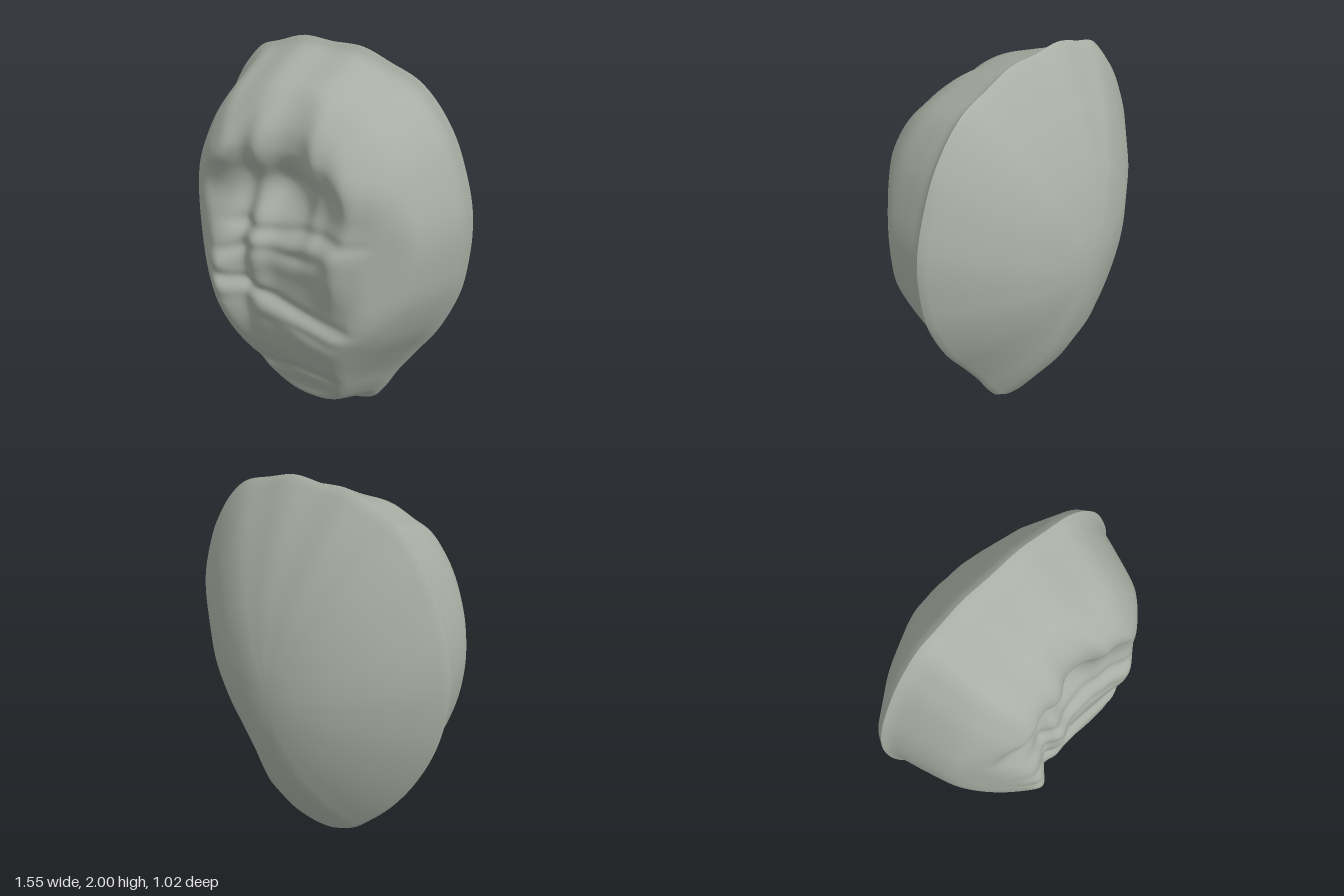
import * as THREE from 'three';

const SEGMENTS = 192;
const CENTER_Y = 1;

// Egg-shaped rim, counter-clockwise seen from the front, starting at the foot
const rim = new THREE.CatmullRomCurve3([
  [0, 0], [0.15, 0.015], [0.25, 0.06], [0.32, 0.15], [0.4, 0.29], [0.5, 0.44], [0.61, 0.6],
  [0.69, 0.76], [0.74, 0.9], [0.765, 1.05], [0.775, 1.2], [0.765, 1.33], [0.72, 1.5],
  [0.65, 1.67], [0.55, 1.81], [0.45, 1.895], [0.3, 1.95], [0.14, 2], [-0.03, 1.997], [-0.2, 2],
  [-0.35, 1.95], [-0.46, 1.91], [-0.55, 1.82], [-0.62, 1.72], [-0.7, 1.55], [-0.75, 1.4],
  [-0.775, 1.22], [-0.765, 1.05], [-0.73, 0.87], [-0.67, 0.7], [-0.57, 0.5], [-0.45, 0.32],
  [-0.33, 0.18], [-0.23, 0.08], [-0.12, 0.02],
].map(([x, y]) => new THREE.Vector3(x, y, 0)), true);

// Smooth interpolation through [position, value] pairs in rising order
function sample(table, t) {
  if (t <= table[0][0]) return table[0][1];
  for (let i = 1; i < table.length; i++) {
    if (t <= table[i][0]) {
      const [a, va] = table[i - 1], [b, vb] = table[i];
      const slope = (j) => {
        const p = table[Math.max(j - 1, 0)], q = table[Math.min(j + 1, table.length - 1)];
        return (q[1] - p[1]) / (q[0] - p[0]);
      };
      const d = b - a, u = (t - a) / d, u2 = u * u, u3 = u2 * u;
      return (2 * u3 - 3 * u2 + 1) * va + (u3 - 2 * u2 + u) * d * slope(i - 1)
        + (3 * u2 - 2 * u3) * vb + (u3 - u2) * d * slope(i);
    }
  }
  return table[table.length - 1][1];
}

const bump = (d, width) => Math.exp(-((d / width) ** 2));
const step = THREE.MathUtils.smoothstep;

// Rounded minimum of two heights
function softMin(a, b, k) {
  const h = Math.max(k - Math.abs(a - b), 0) / k;
  return Math.min(a, b) - h * h * k * 0.25;
}

// Height of the sloping side wall by distance from the middle (1 = rim)
const wall = [[0, 0.8], [0.4, 0.59], [0.6, 0.45], [0.7, 0.375], [0.78, 0.295], [0.85, 0.195],
  [0.92, 0.03], [0.96, -0.07], [1, -0.11]];

// Height of the front face along the middle, from foot to crown
const face = [[0.1, 0.19], [0.22, 0.2], [0.29, 0.225], [0.34, 0.26], [0.5, 0.35], [0.62, 0.39],
  [0.72, 0.4], [0.8, 0.39], [0.95, 0.395], [1.08, 0.4], [1.2, 0.385], [1.32, 0.355],
  [1.42, 0.36], [1.52, 0.385], [1.6, 0.39], [1.7, 0.365], [1.85, 0.27], [2, 0.2]];

// Front relief: vertical ribs, slanting cross grooves and a left cheek
function faceHeight(x, y) {
  const upper = step(y, 1.1, 1.5), middle = bump(y - 0.95, 0.45);
  let z = sample(face, y);
  // hollow brow with a dimple below it
  z -= 0.05 * bump(x - 0.04, 0.16) * upper;
  z -= 0.055 * bump(x + 0.04, 0.19) * bump(y - 1.41, 0.11);
  // ribs
  z += 0.035 * bump(x + 0.11, 0.06) * step(y, 0.6, 1);
  z += 0.02 * bump(x - 0.2, 0.05) * step(y, 0.9, 1.4);
  z += 0.06 * bump(x + 0.36, 0.1) * bump(y - 1.58, 0.16);
  const off = x - (0.3 + 0.2 * (y - 0.8));
  z += 0.05 * bump(off, off > 0 ? 0.06 : 0.12) * step(y, 0.75, 1.1);
  // left cheek and the furrow beside it
  z += 0.11 * bump(x + 0.33, 0.13) * bump(y - 0.88, 0.28);
  z -= 0.03 * bump(x + 0.2, 0.05) * middle;
  // cross grooves, each with a soft lip below
  const groove = (line, depth, left, right) => {
    const d = y - line - 0.012 * Math.sin(11 * x + 20 * line);
    const reach = step(x, left - 0.15, left + 0.1) * (1 - step(x, right - 0.1, right + 0.1));
    return reach * depth * (bump(d + 0.07, 0.06) - bump(d, 0.035));
  };
  z += groove(1.2 + 0.08 * x, 0.017, -0.25, 0.62);
  z += groove(1.09 + 0.12 * x, 0.011, -0.4, 0.25);
  z += groove(0.83 - 0.23 * x, 0.019, -0.5, 0.5);
  z += groove(0.71 - 0.1 * x, 0.012, 0.1, 0.5);
  z += groove(0.35 + 0.05 * x, 0.014, -0.28, 0.28);
  // chamfered flanks
  z = softMin(z, 0.345 + 0.87 * (0.5 - x), 0.05);
  return softMin(z, 0.36 + 0.87 * (x + 0.5), 0.05);
}

// Closes the rim with shrinking rings; height(s, x, y) gives z
function cap(rings, height, facesFront) {
  const outline = rim.getPoints(SEGMENTS).slice(0, SEGMENTS);
  const positions = [], index = [];
  for (const s of rings) {
    for (const p of outline) {
      const x = p.x * s, y = CENTER_Y + (p.y - CENTER_Y) * s;
      positions.push(x, y, height(s, x, y));
    }
  }
  const middle = positions.length / 3;
  positions.push(0, CENTER_Y, height(0, 0, CENTER_Y));
  const tri = (a, b, c) => (facesFront ? index.push(a, b, c) : index.push(a, c, b));
  for (let r = 0; r < rings.length; r++) {
    for (let i = 0; i < SEGMENTS; i++) {
      const j = (i + 1) % SEGMENTS;
      const a = r * SEGMENTS + i, b = r * SEGMENTS + j;
      if (r === rings.length - 1) tri(a, b, middle);
      else {
        tri(a, b, b + SEGMENTS);
        tri(a, b + SEGMENTS, a + SEGMENTS);
      }
    }
  }
  const geometry = new THREE.BufferGeometry();
  geometry.setAttribute('position', new THREE.Float32BufferAttribute(positions, 3));
  geometry.setIndex(index);
  geometry.computeVertexNormals();
  return geometry;
}

export function createModel() {
  const group = new THREE.Group();
  group.name = 'ribbedShell';
  const material = new THREE.MeshStandardMaterial({ color: 0xa9afa4 });
  const add = (name, geometry) => {
    const mesh = new THREE.Mesh(geometry, material);
    mesh.name = name;
    group.add(mesh);
  };

  // Carved front with its side wall
  const frontRings = Array.from({ length: 100 }, (_, i) => 1 - i / 100);
  add('carvedFront', cap(frontRings,
    (s, x, y) => softMin(sample(wall, s), faceHeight(x, y), 0.05), true));

  // Smooth domed back in a few broad rings
  const dome = new Map([[1, -0.11], [0.97, -0.155], [0.75, -0.3], [0.49, -0.428], [0.22, -0.493], [0, -0.51]]);
  add('domedBack', cap([...dome.keys()].filter((s) => s > 0), (s) => dome.get(s), false));

  return group;
}
